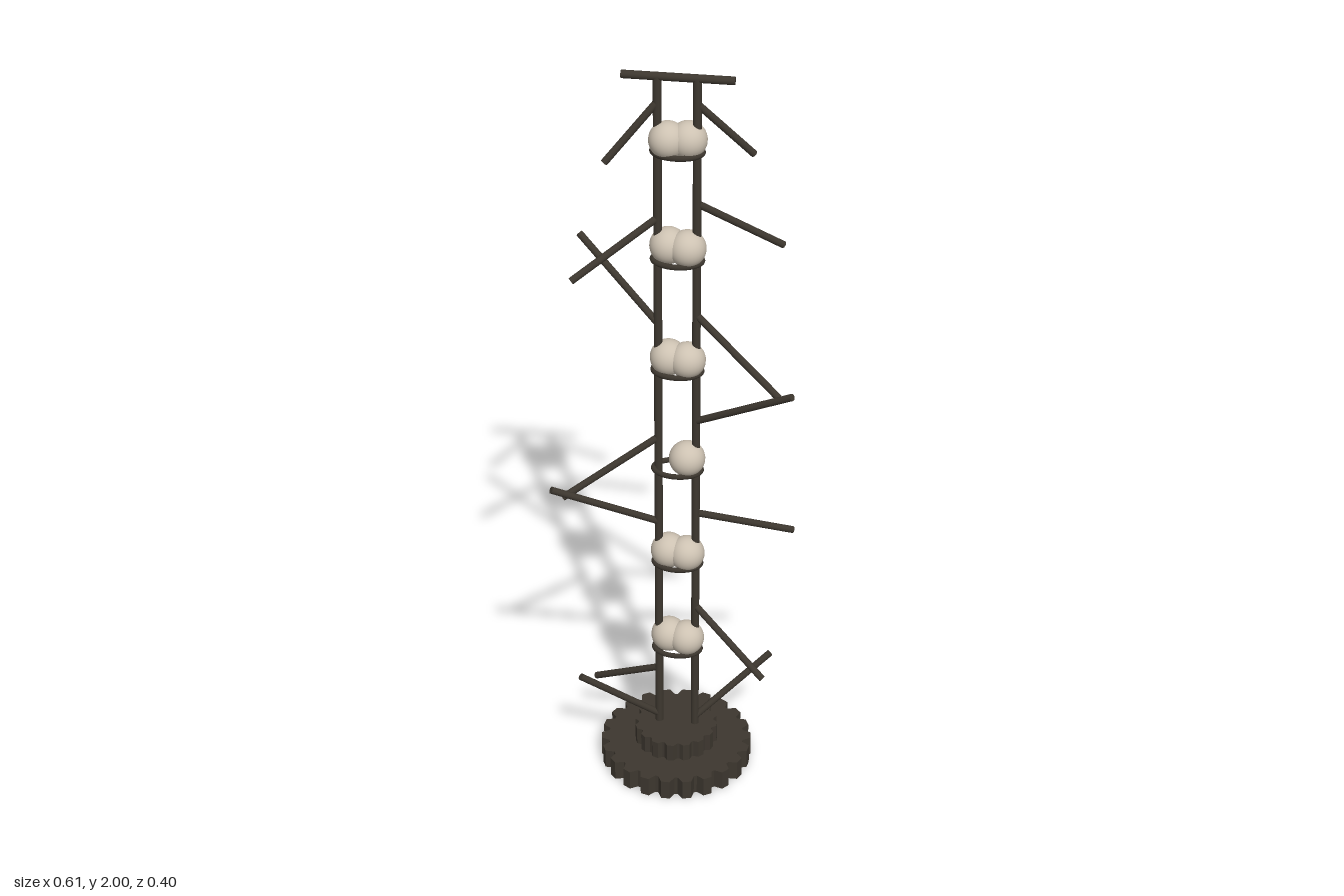
import * as THREE from 'three';

export function createModel() {
  const model = new THREE.Group();
  const wood = new THREE.MeshStandardMaterial({ color: 0x3d372f });
  wood.name = 'dark bark';
  const shell = new THREE.MeshStandardMaterial({ color: 0xcdc2b2 });
  shell.name = 'pale cream';

  const add = (name, geometry, material, x = 0, y = 0, z = 0) => {
    const mesh = new THREE.Mesh(geometry, material);
    mesh.name = name;
    mesh.position.set(x, y, z);
    model.add(mesh);
    return mesh;
  };

  // Round rod between two points
  const rod = (name, a, b, radius) => {
    const from = new THREE.Vector3(...a), to = new THREE.Vector3(...b);
    const dir = to.clone().sub(from);
    const mesh = add(name, new THREE.CylinderGeometry(radius, radius, dir.length(), 16), wood);
    mesh.position.copy(from).add(to).multiplyScalar(0.5);
    mesh.quaternion.setFromUnitVectors(new THREE.Vector3(0, 1, 0), dir.normalize());
  };

  // Fluted disc with blunt teeth round its rim
  const flutedDisc = (name, teeth, outer, inner, y, height) => {
    const points = [];
    const step = (Math.PI * 2) / teeth;
    for (let i = 0; i < teeth; i++) {
      for (const [offset, r] of [[-0.2, outer], [0.2, outer], [0.42, inner], [0.58, inner]]) {
        const t = Math.PI / 2 + (i + offset) * step;
        points.push(new THREE.Vector2(Math.cos(t) * r, Math.sin(t) * r));
      }
    }
    const geometry = new THREE.ExtrudeGeometry(new THREE.Shape(points), { depth: height, bevelEnabled: false });
    geometry.rotateX(-Math.PI / 2);
    add(name, geometry, wood, 0, y, 0);
  };
  flutedDisc('lowerBase', 22, 0.2, 0.18, 0, 0.055);
  flutedDisc('upperBase', 16, 0.11, 0.1, 0.055, 0.05);

  // Twin posts and crossbar
  rod('rightPost', [-0.045, 0.1, 0], [-0.045, 1.99, 0], 0.0105);
  rod('leftPost', [0.05, 0.1, 0], [0.05, 1.99, 0], 0.0105);
  rod('crossbar', [-0.13, 1.99, 0], [0.138, 1.99, 0], 0.01);

  // Nests: an oval ring holding one or two eggs; [ring height, egg height, z skew, egg count]
  const nests = [
    [1.8, 1.83, -0.004, 2], [1.51, 1.545, 0.005, 2], [1.2, 1.233, 0.004, 2],
    [0.91, 0.945, 0.003, 1], [0.624, 0.656, 0.004, 2], [0.35, 0.388, 0.005, 2],
  ];
  const eggGeometry = new THREE.SphereGeometry(0.046, 32, 20);
  const ringGeometry = new THREE.TorusGeometry(0.06, 0.0075, 10, 40);
  ringGeometry.rotateX(Math.PI / 2);
  ringGeometry.scale(1, 1, 0.67);
  for (const [ringY, eggY, skew, count] of nests) {
    add('nestRing', ringGeometry, wood, 0.003, ringY, 0);
    add('leftEgg', eggGeometry, shell, 0.028, eggY, skew);
    if (count === 2) add('rightEgg', eggGeometry, shell, -0.02, eggY, -skew);
  }

  // Branches: [height on the post, tip x, tip y, tip z]
  const branches = [
    [1.925, -0.165, 1.78, 0.045], [1.62, -0.24, 1.487, 0.103], [1.328, -0.255, 1.508, -0.102],
    [1.0, -0.278, 0.845, 0.076], [0.745, -0.302, 0.885, 0.107], [0.28, -0.23, 0.163, -0.09],
    [0.125, -0.242, 0.285, 0.08], [1.925, 0.18, 1.783, -0.045], [1.665, 0.25, 1.52, -0.092],
    [1.36, 0.265, 1.193, 0.086], [1.055, 0.3, 1.215, 0.113], [0.78, 0.288, 0.67, -0.12],
    [0.49, 0.24, 0.347, 0.102], [0.125, 0.24, 0.297, -0.08],
  ];
  for (const [y, ...tip] of branches) {
    rod(tip[0] > 0 ? 'leftBranch' : 'rightBranch', [tip[0] > 0 ? 0.05 : -0.045, y, 0], tip, 0.009);
  }
  return model;
}
